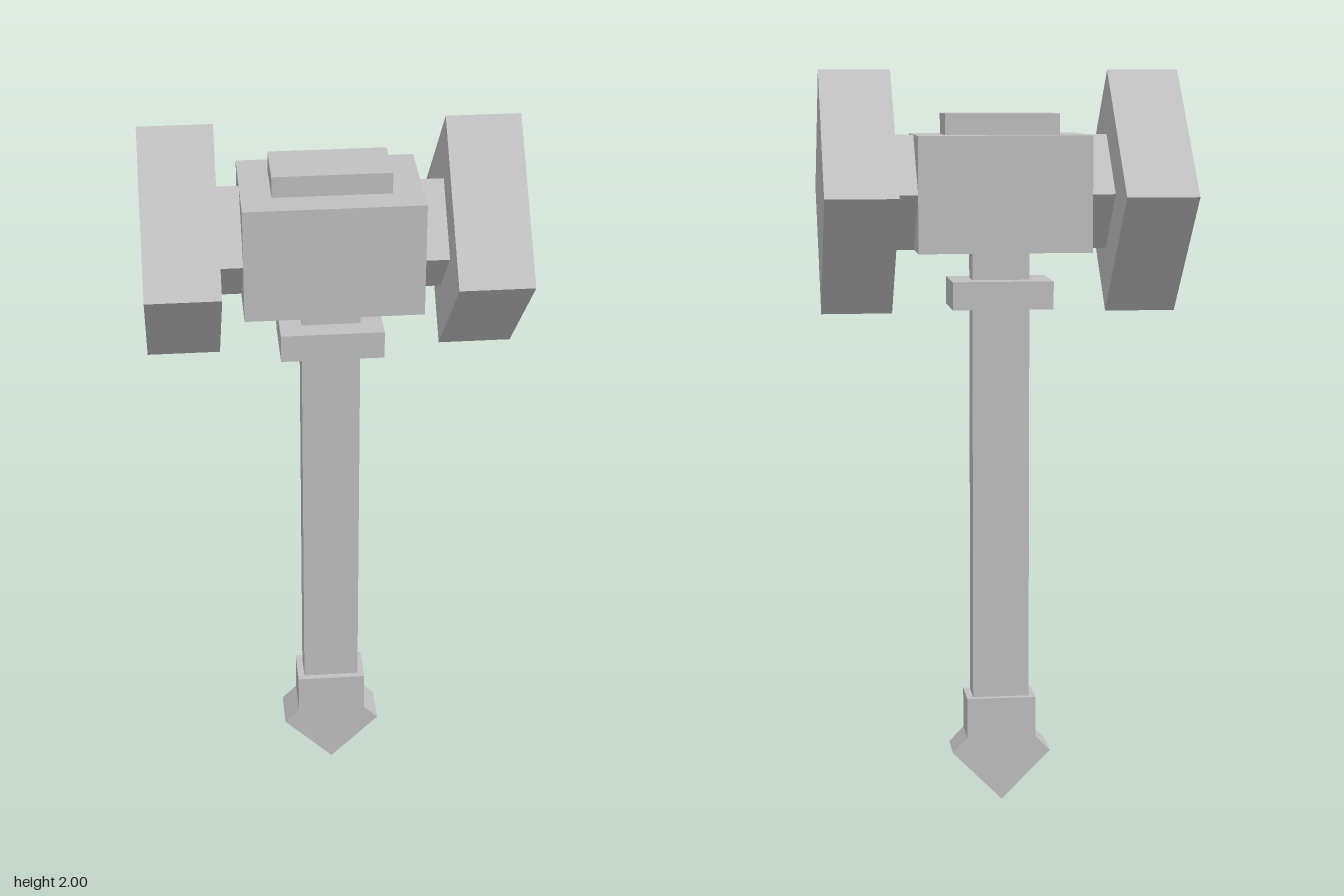
import * as THREE from 'three';

export function createModel() {
  const model = new THREE.Group();
  model.name = 'warHammer';
  const stone = new THREE.MeshStandardMaterial({ color: 0xc0c0c0 });
  stone.name = 'stoneGrey';

  function add(name, geometry, x, y, z = 0) {
    const mesh = new THREE.Mesh(geometry, stone);
    mesh.name = name;
    mesh.position.set(x, y, z);
    model.add(mesh);
    return mesh;
  }
  const box = (name, w, h, d, x, y) => add(name, new THREE.BoxGeometry(w, h, d), x, y);

  const headY = 1.677;

  // Shaft and collar
  box('shaft', 0.154, 1.245, 0.08, 0, 0.9025);
  box('collar', 0.27, 0.075, 0.19, 0, 1.407);

  // Head block with raised cap
  box('headBlock', 0.46, 0.306, 0.306, 0, headY);
  box('headCap', 0.304, 0.056, 0.154, 0, 1.858);

  // Striking heads and their necks: square bars turned on edge
  for (const side of [-1, 1]) {
    const name = side > 0 ? 'left' : 'right';
    const neck = box(name + 'Neck', 0.06, 0.306 / Math.SQRT2, 0.306 / Math.SQRT2, side * 0.26, headY);
    const striker = box(name + 'StrikingHead', 0.19, 0.646 / Math.SQRT2, 0.646 / Math.SQRT2, side * 0.385, headY);
    neck.rotation.x = striker.rotation.x = Math.PI / 4;
  }

  // Pommel: square socket ending in a barbed point
  const half = [[0, 0], [0.135, 0.136], [0.095, 0.177], [0.095, 0.29]];
  const outline = [...half, ...half.slice(1).reverse().map(([x, y]) => [-x, y])];
  const shape = new THREE.Shape(outline.map(([x, y]) => new THREE.Vector2(x, y)));
  add('pommel', new THREE.ExtrudeGeometry(shape, { depth: 0.114, bevelEnabled: false }), 0, 0, -0.057);

  return model;
}
